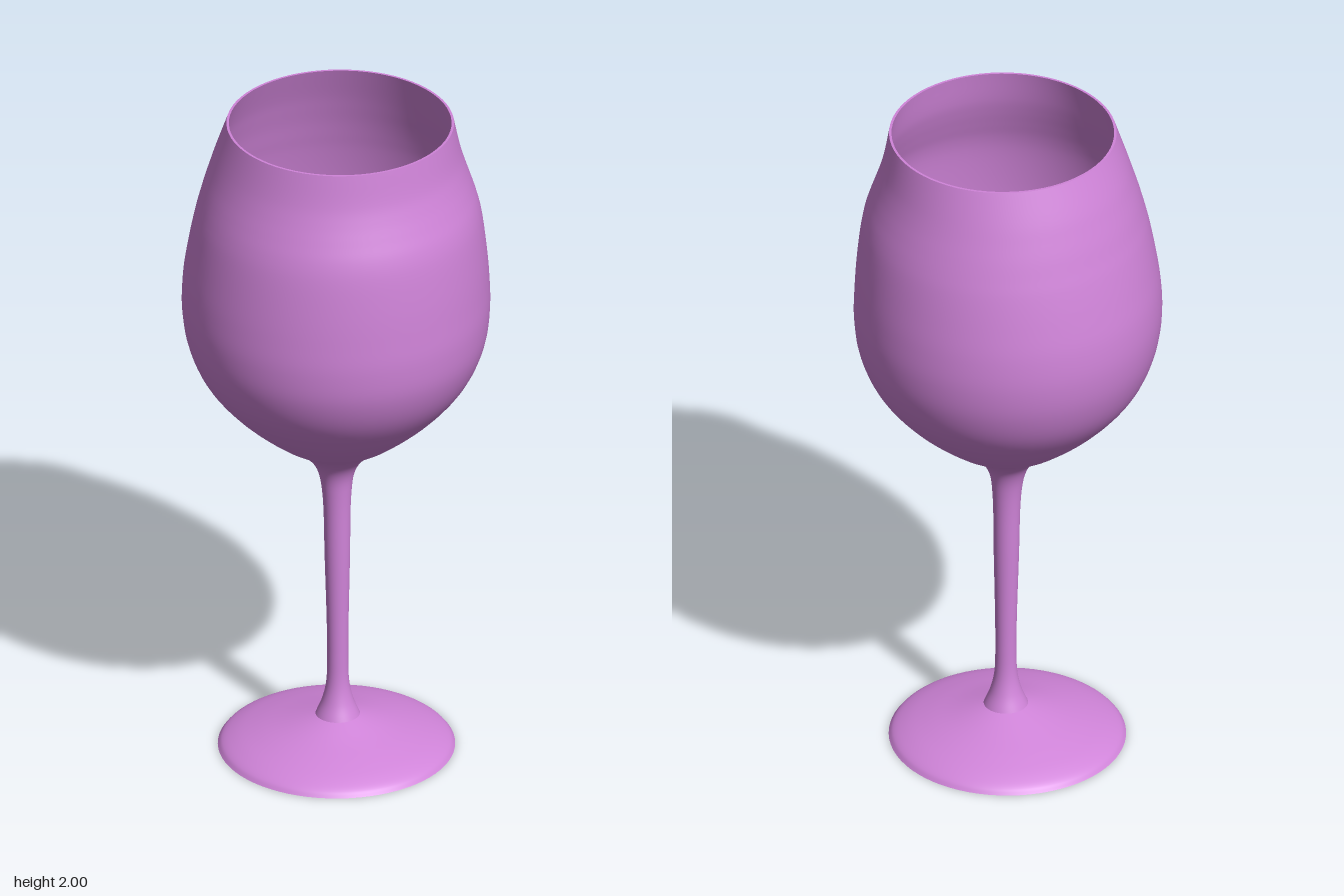
import * as THREE from 'three';
import { mergeVertices } from 'three/addons/utils/BufferGeometryUtils.js';

const SEGMENTS = 72;

// Smooth curve through [radius, height, sideways shift] points
function smooth(points, steps) {
  const curve = new THREE.CatmullRomCurve3(points.map(([r, y, dx = 0]) => new THREE.Vector3(r, y, dx)), false, 'centripetal');
  return curve.getPoints(steps);
}

// Revolve a profile, lean each ring by its own shift, and weld for seamless normals
function revolve(profile) {
  let geo = new THREE.LatheGeometry(profile.map(p => new THREE.Vector2(Math.max(p.x, 0), p.y)), SEGMENTS);
  const pos = geo.attributes.position;
  for (let i = 0; i < pos.count; i++) pos.setX(i, pos.getX(i) + profile[i % profile.length].z);
  geo.deleteAttribute('uv');
  geo.deleteAttribute('normal');
  geo = mergeVertices(geo, 1e-5);
  geo.computeVertexNormals();
  return geo;
}

export function createModel() {
  const group = new THREE.Group();
  const glass = new THREE.MeshStandardMaterial({ color: 0xd084d9, side: THREE.DoubleSide });
  glass.name = 'orchid glass';

  const add = (name, profile) => {
    const mesh = new THREE.Mesh(revolve(profile), glass);
    mesh.name = name;
    group.add(mesh);
  };

  // Foot: shallow dome, hollow underneath
  add('footTop', smooth([[0.337, 0], [0.325, 0.014], [0.29, 0.032], [0.23, 0.052], [0.15, 0.074], [0.06, 0.1, 0.006]], 24));
  add('footUnderside', smooth([[0.07, 0.088, 0.004], [0.15, 0.066], [0.23, 0.043], [0.29, 0.023], [0.337, 0]], 20));
  add('footCentre', [[0, 0.09], [0.07, 0.088]].map(([r, y]) => new THREE.Vector3(r, y, 0.004)));

  // Stem flowing into the outside of the bowl, which bulges slightly to one side
  const outer = smooth([
    [0.063, 0.1, 0.006], [0.045, 0.145, 0.006], [0.033, 0.2, 0.006], [0.03, 0.3, 0.006],
    [0.036, 0.6, 0.004], [0.041, 0.8, 0.002], [0.051, 0.87], [0.07, 0.91], [0.11, 0.95],
    [0.185, 1.0], [0.3, 1.1], [0.38, 1.2], [0.422, 1.3], [0.437, 1.4, -0.002],
    [0.435, 1.5, -0.002], [0.424, 1.6, 0.003], [0.408, 1.7, 0.008], [0.396, 1.75, 0.009],
    [0.381, 1.8, 0.007], [0.365, 1.85, 0.006], [0.35, 1.9, 0.007], [0.323, 2, 0.018],
  ], 110);
  add('stemAndBowl', outer);

  // Inside of the bowl: the same curve one thin wall further in, closed at the bottom
  const wall = 0.007;
  const inner = outer.filter(p => p.y > 0.95)
    .map(p => new THREE.Vector3(p.x - wall, p.y + (p.y < 1.3 ? wall : 0), p.z))
    .reverse();
  const last = inner[inner.length - 1];
  inner.push(new THREE.Vector3(0.05, last.y - 0.025, 0), new THREE.Vector3(0, last.y - 0.035, 0));
  add('bowlInside', inner);

  // Rim joining both walls
  add('rim', [outer[outer.length - 1], inner[0]]);

  return group;
}
